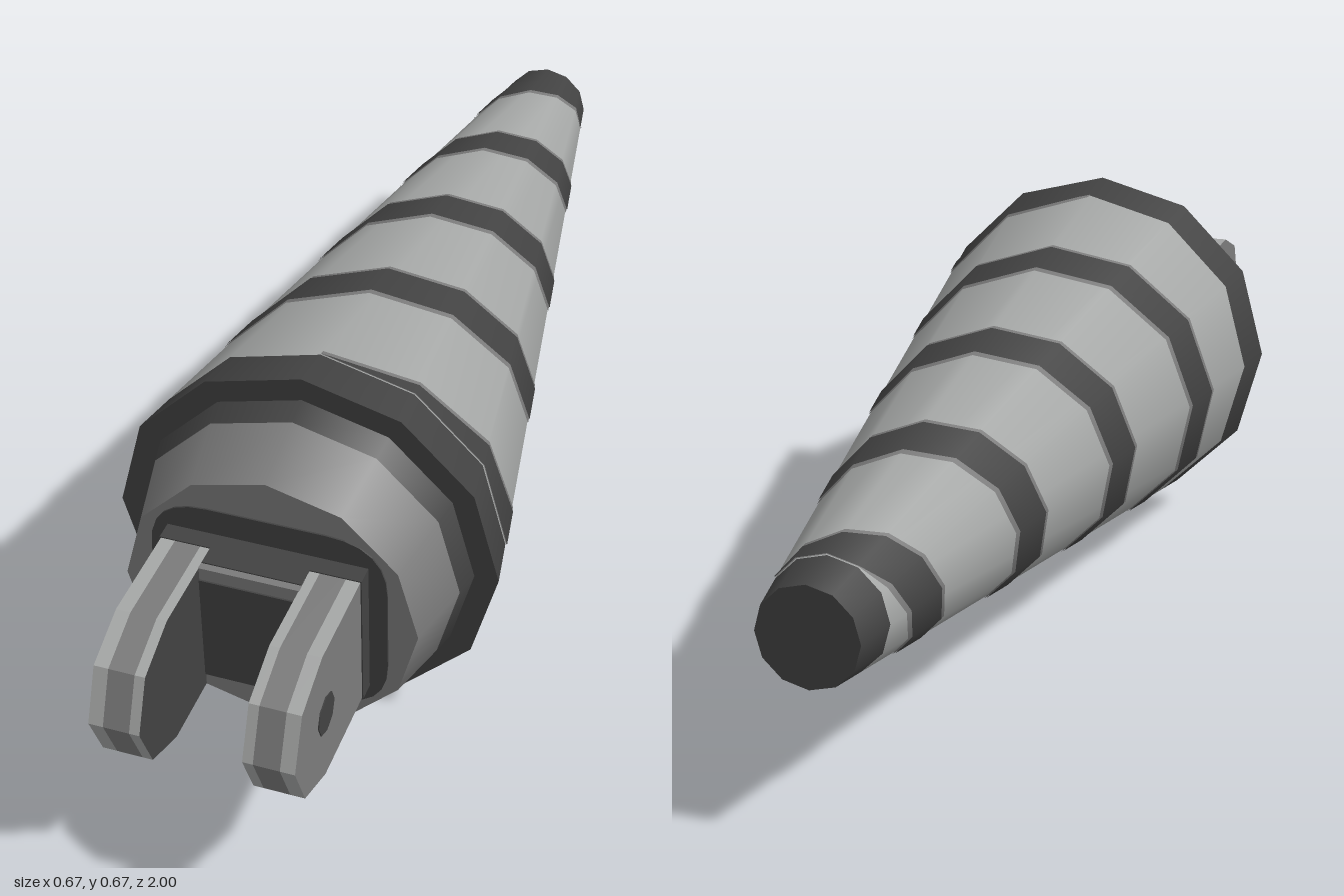
import * as THREE from 'three';

const paint = (name, color) => {
  const m = new THREE.MeshStandardMaterial({ color });
  m.name = name;
  return m;
};

const CY = 1 / 3;       // height of the long axis
const SIDES = 12;
const PITCH = 0.34;     // spiral advance per turn
const coneRadius = z => 1 / 12 + (z + 1) / 6;

export function createModel() {
  const light = paint('light grey', 0xa5a7a6);
  const mid = paint('mid grey', 0x7b7b7b);
  const dark = paint('dark grey', 0x424242);
  const model = new THREE.Group();

  const add = (name, geometry, material, x = 0, y = CY, z = 0) => {
    const mesh = new THREE.Mesh(geometry, material);
    mesh.name = name;
    mesh.position.set(x, y, z);
    model.add(mesh);
    return mesh;
  };

  // Tapered twelve-sided section between two z positions
  const section = (name, z0, z1, r0, r1, material, open) => {
    const g = new THREE.CylinderGeometry(r1, r0, z1 - z0, SIDES, 1, open);
    g.rotateX(Math.PI / 2);
    add(name, g, material, 0, CY, (z0 + z1) / 2);
  };

  const box = (name, w, h, z0, z1, material) =>
    add(name, new THREE.BoxGeometry(w, h, z1 - z0), material, 0, CY, (z0 + z1) / 2);

  // Cone body with dark ends
  const zTip = -0.92, zRim = 0.41;
  section('tip', -1, zTip, coneRadius(-1), coneRadius(zTip), dark, false);
  section('coneBody', zTip, zRim, coneRadius(zTip), coneRadius(zRim), light, true);
  section('coneRim', zRim, 0.5, coneRadius(zRim), coneRadius(0.5), dark, false);

  // Spiral stripe lying on the facets of the cone
  const spiral = (name, halfWidth, lift, material) => {
    const pos = [], nor = [], idx = [];
    const n = SIDES * 5;
    for (let i = 0; i <= n; i++) {
      const a = (i / SIDES) * Math.PI * 2;
      const zc = 0.455 - PITCH * i / SIDES;
      for (const d of [-halfWidth, halfWidth]) {
        const z = THREE.MathUtils.clamp(zc + d, zTip, zRim);
        const r = coneRadius(z) + lift;
        pos.push(Math.sin(a) * r, Math.cos(a) * r, z);
        const v = new THREE.Vector3(Math.sin(a), Math.cos(a), -1 / 6).normalize();
        nor.push(v.x, v.y, v.z);
      }
      if (i < n) {
        const k = i * 2;
        idx.push(k, k + 1, k + 2, k + 1, k + 3, k + 2);
      }
    }
    const g = new THREE.BufferGeometry();
    g.setAttribute('position', new THREE.Float32BufferAttribute(pos, 3));
    g.setAttribute('normal', new THREE.Float32BufferAttribute(nor, 3));
    g.setIndex(idx);
    add(name, g, material);
  };
  spiral('stripeFringe', 0.056, 0.0015, mid);
  spiral('stripe', 0.045, 0.003, dark);

  // Collar in front of the cone
  section('collarBand', 0.5, 0.545, 0.292, 0.281, dark, true);
  section('collar', 0.545, 0.667, 0.281, 0.25, mid, false);

  // Dark rounded plate on the collar face
  const w = 0.2, h = 0.175, c = 0.1;
  const plate = new THREE.Shape();
  plate.moveTo(w, h - c);
  plate.quadraticCurveTo(w, h, w - c, h);
  plate.lineTo(c - w, h);
  plate.quadraticCurveTo(-w, h, -w, h - c);
  plate.lineTo(-w, c - h);
  plate.quadraticCurveTo(-w, -h, c - w, -h);
  plate.lineTo(w - c, -h);
  plate.quadraticCurveTo(w, -h, w, c - h);
  add('collarPlate', new THREE.ExtrudeGeometry(plate, { depth: 0.004, bevelEnabled: false, curveSegments: 6 }),
    dark, 0, CY, 0.666);

  // Bridge between the prongs, with its dark panels
  box('bridge', 0.168, 0.25, 0.66, 0.75, mid);
  box('bridgePanel', 0.166, 0.204, 0.70, 0.753, dark);
  box('bridgeBand', 0.166, 0.254, 0.66, 0.737, dark);
  box('clevisBand', 0.338, 0.254, 0.66, 0.702, dark);

  // Prong outline: straight sides with a half-octagon end
  const outline = new THREE.Shape();
  outline.moveTo(-0.66, -0.125);
  outline.lineTo(-0.66, 0.125);
  for (let i = 0; i <= 4; i++) {
    const a = Math.PI / 2 + i * Math.PI / 4;
    outline.lineTo(-0.875 + 0.125 * Math.cos(a), 0.125 * Math.sin(a));
  }
  const slice = (name, x0, x1, materials) => {
    const g = new THREE.ExtrudeGeometry(outline, { depth: x1 - x0, bevelEnabled: false });
    g.rotateY(Math.PI / 2);
    add(name, g, materials, x0);
  };

  // Mirrored prongs: light edges, mid core, dark inner face, pin outside
  for (const s of [1, -1]) {
    const side = s > 0 ? 'left' : 'right';
    const span = (a, b) => (s > 0 ? [a, b] : [-b, -a]);
    slice(side + 'ProngInner', ...span(0.083, 0.1), [dark, light]);
    slice(side + 'ProngCore', ...span(0.1, 0.143), [mid, mid]);
    slice(side + 'ProngOuter', ...span(0.143, 0.167), [mid, light]);
    const pin = new THREE.CylinderGeometry(0.035, 0.035, 0.004, 8);
    pin.rotateZ(Math.PI / 2);
    add(side + 'Pin', pin, dark, s * 0.167, CY, 0.867);
  }

  return model;
}
